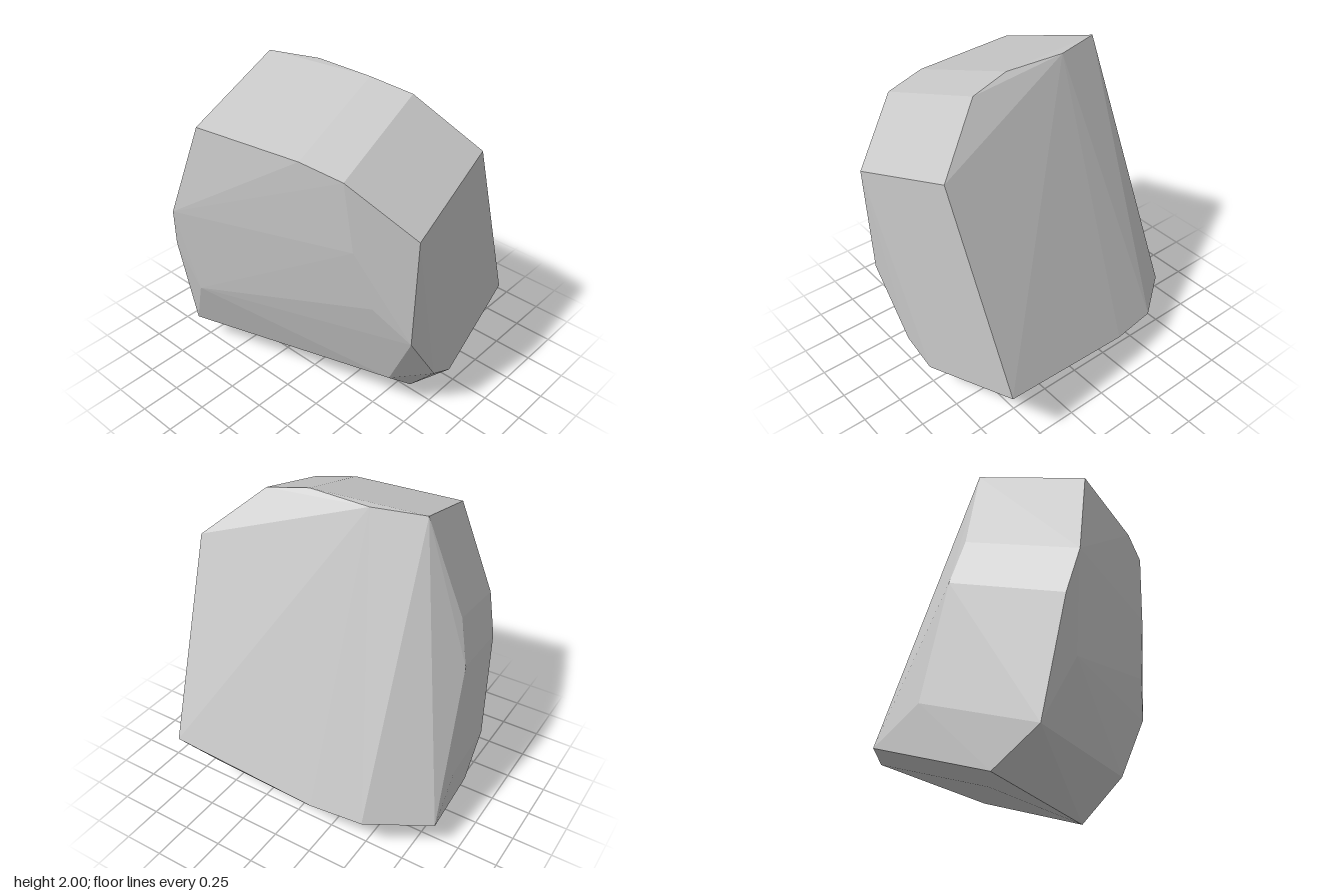
import * as THREE from 'three';
import { ConvexGeometry } from 'three/addons/geometries/ConvexGeometry.js';

export function createModel() {
  const group = new THREE.Group();
  group.name = 'rock';
  const stone = new THREE.MeshStandardMaterial({ color: 0xc7c7c7 });
  stone.name = 'stone grey';

  // Outline of the slab's left face, going round from the front
  const outline = [
    [0.30, 1.66, 0.77], [0.10, 1.96, 0.43], [0.05, 2.00, 0.17], [0.06, 1.99, -0.22],
    [-0.03, 1.98, -0.53], [-0.10, 1.38, -0.74], [-0.05, 1.10, -0.81], [0.08, 0.41, -0.855],
    [0.35, 0.21, -0.88], [0.61, 0.26, -0.53], [0.67, 0.29, -0.21], [0.64, 0.28, 0.51],
    [0.76, 0.45, 0.71],
  ].map((p) => new THREE.Vector3(...p));

  // The opposite face is the same outline shifted through the thickness
  const thickness = new THREE.Vector3(-0.67, -0.21, 0.11);
  const opposite = outline.map((p) => p.clone().add(thickness));

  // Chipped corners on the opposite face
  const chips = [
    [-0.37, 0.76, 0.86], [-0.10, 0.35, 0.84], [-0.30, 0.34, 0.66],
    [-0.54, 1.33, 0.58], [-0.47, 0.96, 0.66], [-0.69, 0.60, -0.55],
  ].map((p) => new THREE.Vector3(...p));

  const boulder = new THREE.Mesh(new ConvexGeometry([...outline, ...opposite, ...chips]), stone);
  boulder.name = 'boulder';
  group.add(boulder);
  return group;
}
